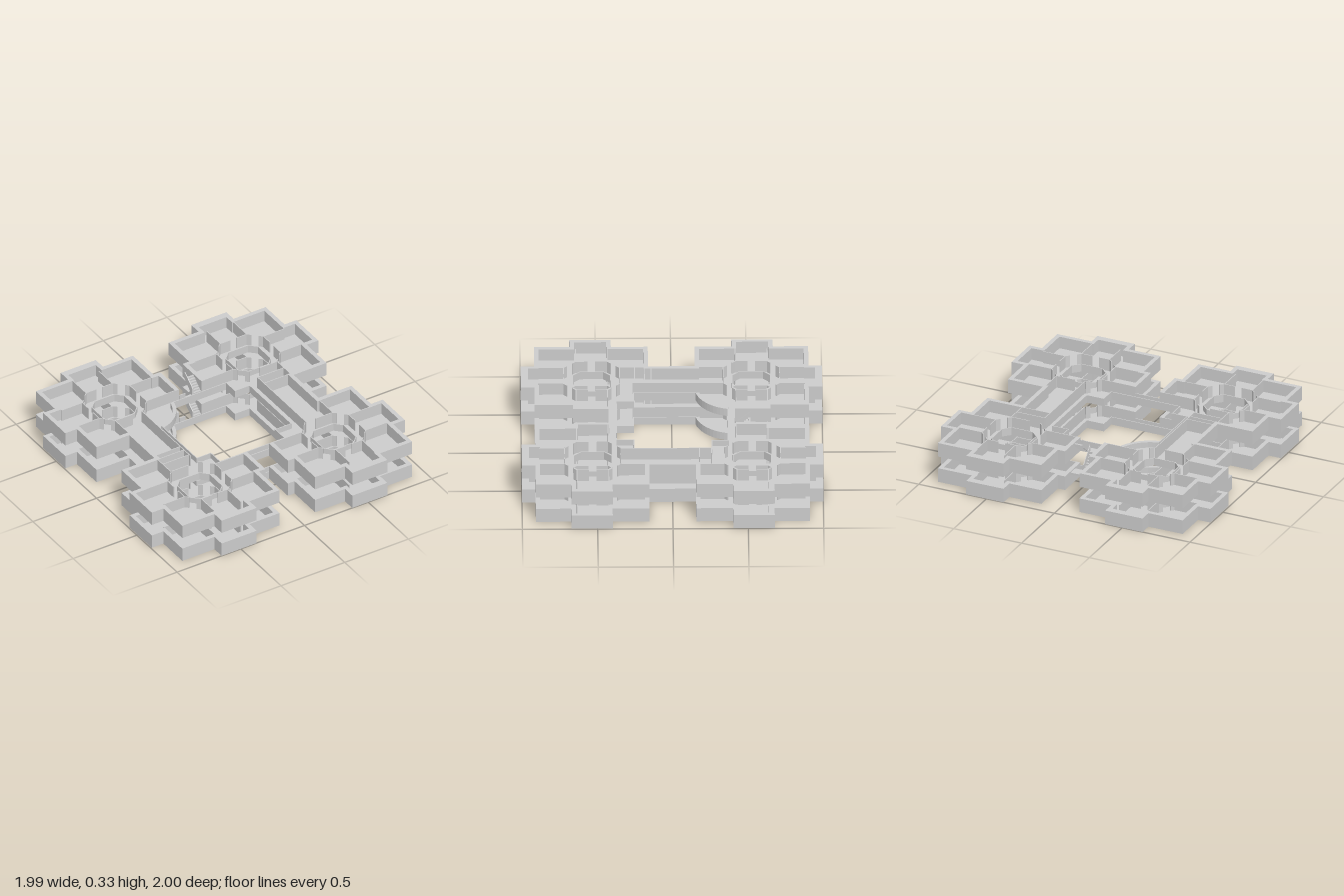
import * as THREE from 'three';

const SLAB = 0.015, WALL = 0.1, RAIL = 0.055, THIN = 0.006, THICK = 0.03;
const mat = new THREE.MeshStandardMaterial({ color: 0xcccccc, flatShading: true });

// Plan outline (x, z) as a shape, always wound counter-clockwise
function toShape(pts) {
  const v = pts.map(([x, z]) => new THREE.Vector2(x, -z));
  return new THREE.Shape(THREE.ShapeUtils.isClockWise(v) ? v.reverse() : v);
}

// Extrude a plan outline upward from y0 to y1
function prism(name, shape, y0, y1) {
  const geo = new THREE.ExtrudeGeometry(shape, { depth: y1 - y0, bevelEnabled: false });
  geo.rotateX(-Math.PI / 2).translate(0, y0, 0);
  const mesh = new THREE.Mesh(geo, mat);
  mesh.name = name;
  return mesh;
}

// Mitred sideways offset of a path
function offset(pts, d, closed) {
  const n = pts.length;
  const normal = (a, b) => {
    const dx = b[0] - a[0], dz = b[1] - a[1], l = Math.hypot(dx, dz);
    return [-dz / l, dx / l];
  };
  return pts.map((p, i) => {
    const prev = closed || i > 0 ? pts[(i + n - 1) % n] : null;
    const next = closed || i < n - 1 ? pts[(i + 1) % n] : null;
    const a = prev ? normal(prev, p) : normal(p, next);
    const b = next ? normal(p, next) : a;
    const k = d / (1 + a[0] * b[0] + a[1] * b[1]);
    return [p[0] + (a[0] + b[0]) * k, p[1] + (a[1] + b[1]) * k];
  });
}

// Wall along a path, thickened to one side (d) or both (centred)
function wall(name, pts, d, height, centred = false) {
  const a = centred ? offset(pts, -d / 2) : pts;
  const b = offset(pts, centred ? d / 2 : d);
  return prism(name, toShape([...a, ...b.reverse()]), SLAB, height);
}

// Low parapet standing just outside a closed opening; d picks the side
function ring(name, opening, d) {
  const s = toShape(offset(opening, d, true));
  s.holes.push(toShape(opening));
  return prism(name, s, SLAB, RAIL);
}

// One quarter of the outer footprint
const QUARTER = [[0.088, 0.42], [0.088, 0.655], [0.14, 0.655], [0.14, 0.91], [0.375, 0.91], [0.375, 1],
  [0.65, 1], [0.65, 0.91], [0.902, 0.91], [0.902, 0.675], [0.993, 0.675], [0.993, 0.4],
  [0.902, 0.4], [0.902, 0.155], [0.645, 0.155]];
const flip = (pts, sx, sz) => pts.map(([x, z]) => [x * sx, z * sz]);
const EAST = [...flip(QUARTER, 1, -1), ...[...QUARTER].reverse()];
const WEST = flip(EAST, -1, 1).reverse();

// Courtyard edge with a rounded balcony in one corner
const ARC = Array.from({ length: 13 }, (_, i) => {
  const a = THREE.MathUtils.degToRad(77.5 - 65 * i / 12);
  return [-0.43 + 0.277 * Math.cos(a), -0.43 + 0.277 * Math.sin(a)];
});
const COURT = [[0.365, 0.25], [0.24, 0.25], [0.24, 0.365], [-0.26, 0.365], [-0.26, 0.25], [-0.37, 0.25],
  ...ARC, [0.25, -0.37], [0.25, -0.26], [0.365, -0.26]];

// Octagonal light well and the ring passage around it
const CX = 0.525, CZ = 0.53;
const octagon = (r, e) => [[r, e], [e, r], [-e, r], [-r, e], [-r, -e], [-e, -r], [e, -r], [r, -e]]
  .map(([x, z]) => [CX + x, CZ + z]);
const WELL = octagon(0.124, 0.077), PASSAGE = octagon(0.186, 0.105);
const GALLERY_EDGE = 5;

// Partitions of one cluster of rooms
const PARTITIONS = [
  [[0.63, 0.715], [0.63, 0.885]], [[0.425, 0.715], [0.425, 0.885]],
  [[0.711, 0.635], [0.875, 0.635]], [[0.339, 0.635], [0.165, 0.635]],
  [[0.711, 0.425], [0.902, 0.425]], [[0.339, 0.425], [0.088, 0.425]],
  [[0.635, 0.345], [0.635, 0.155]],
];

function cluster(sx, sz) {
  const g = new THREE.Group();
  g.name = 'roomCluster';
  const put = (name, pts, t = THIN) => g.add(wall(name, flip(pts, sx, sz), t, WALL, true));
  PARTITIONS.forEach((p) => put('partition', p));
  // deeper end wall of the long room
  put('endWall', [[0.405, 0.961], [0.62, 0.961]], 0.018);
  // passage walls with doorways: central ones, and one to the side facing the gallery
  PASSAGE.forEach((a, i) => {
    const b = PASSAGE[(i + 1) % 8];
    const len = Math.hypot(b[0] - a[0], b[1] - a[1]);
    const mix = (t) => [a[0] + (b[0] - a[0]) * t, a[1] + (b[1] - a[1]) * t];
    if (i === GALLERY_EDGE) {
      put('passageWall', [mix(0.38), b]);
      return;
    }
    const k = 0.5 - 0.025 / len;
    put('passageWall', [a, mix(k)]);
    put('passageWall', [mix(1 - k), b]);
  });
  g.add(ring('wellParapet', flip(WELL, sx, sz), -THIN * sx * sz));
  return g;
}

// Flight of overlapping step blocks
function flight(x0, x1, z0, y0, z1, y1, n = 7) {
  const g = new THREE.Group();
  g.name = 'stairFlight';
  const rise = (y1 - y0) / n, run = (z1 - z0) / n;
  const geo = new THREE.BoxGeometry(x1 - x0, rise + 0.004, Math.abs(run));
  for (let i = 0; i < n; i++) {
    const step = new THREE.Mesh(geo, mat);
    step.name = 'step';
    step.position.set((x0 + x1) / 2, y0 + rise * (i + 0.5) - 0.002, z0 + run * (i + 0.5));
    g.add(step);
  }
  return g;
}

// Thin sloping side panel, drawn in (z, y) and extruded along x
function stairRail(x, z0, y0, z1, y1) {
  const pts = [[z0, y0 - 0.015], [z1, y1 - 0.015], [z1, y1 + 0.045], [z0, y0 + 0.045]];
  const s = new THREE.Shape(pts.map(([z, y]) => new THREE.Vector2(-z, y)));
  const geo = new THREE.ExtrudeGeometry(s, { depth: 0.005, bevelEnabled: false });
  geo.rotateY(Math.PI / 2).translate(x, 0, 0);
  const mesh = new THREE.Mesh(geo, mat);
  mesh.name = 'stairRail';
  return mesh;
}

function storey(name) {
  const g = new THREE.Group();
  g.name = name;

  // floor plate with courtyard and wells
  const plate = toShape([...EAST, ...WEST]);
  plate.holes.push(toShape(COURT));
  for (const sx of [-1, 1]) for (const sz of [-1, 1]) {
    plate.holes.push(toShape(flip(WELL, sx, sz)));
    g.add(cluster(sx, sz));
  }
  g.add(prism('floor', plate, 0, SLAB));

  // outer walls
  for (const side of [EAST, WEST]) g.add(wall('outerWall', side, THICK, WALL));

  // courtyard, balcony and walkway parapets
  g.add(ring('courtyardParapet', COURT, -THIN));
  g.add(wall('balconyParapet', ARC, -0.025, RAIL));
  g.add(wall('walkwayParapet', [[-0.088, 0.417], [0.088, 0.417]], THIN, RAIL, true));
  g.add(wall('walkwayParapet', [[-0.088, -0.417], [-0.04, -0.417]], THIN, RAIL, true));

  // gallery walls and cross walls, turned half round for the other side
  for (const [s, crossings] of [[1, [-0.26, -0.18]], [-1, [-0.245, -0.18, -0.135]]]) {
    g.add(wall('galleryWall', flip([[0.428, -0.26], [0.428, 0.345]], s, s), THIN, WALL, true));
    for (const z of crossings) {
      g.add(wall('galleryCrossWall', flip([[0.428, z], [0.63, z]], s, s), THIN, WALL, true));
    }
  }

  // first stair flight behind the back walkway
  g.add(flight(0.025, 0.085, -0.42, SLAB, -0.52, 0.095));
  g.add(stairRail(0.02, -0.42, SLAB, -0.52, 0.095));
  return g;
}

export function createModel() {
  const model = new THREE.Group();
  model.name = 'building';
  const upper = storey('upperStorey');
  upper.position.y = 0.186;
  model.add(storey('lowerStorey'), upper);

  // landing and return flight joining the storeys
  const landing = new THREE.Mesh(new THREE.BoxGeometry(0.125, 0.015, 0.057), mat);
  landing.name = 'stairLanding';
  landing.position.set(0.0225, 0.0875, -0.5485);
  model.add(landing, flight(-0.04, 0.02, -0.52, 0.095, -0.42, 0.201),
    stairRail(0.015, -0.52, 0.095, -0.42, 0.201));
  return model;
}
